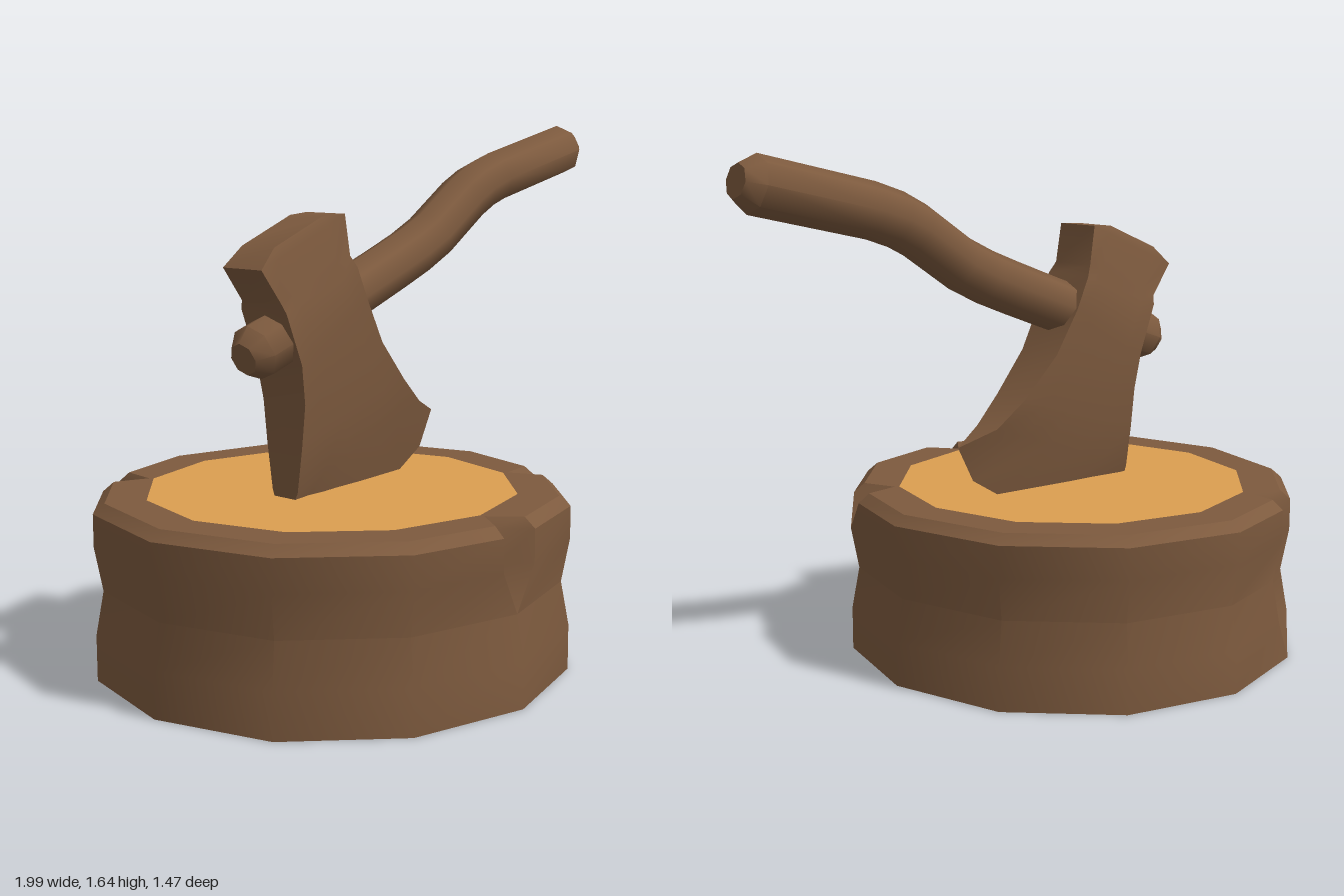
import * as THREE from 'three';
import { toCreasedNormals } from 'three/addons/utils/BufferGeometryUtils.js';

const V = (x, y, z) => new THREE.Vector3(x, y, z);

// Skin a list of closed rings (counter-clockwise about the loft direction).
function loft(rings, crease, capStart, capEnd) {
  const pos = [];
  const tri = (a, b, c) => {
    const area = b.clone().sub(a).cross(c.clone().sub(a)).length();
    if (area > 1e-7) for (const p of [a, b, c]) pos.push(p.x, p.y, p.z);
  };
  const n = rings[0].length;
  for (let i = 0; i < rings.length - 1; i++) {
    for (let j = 0; j < n; j++) {
      const k = (j + 1) % n;
      tri(rings[i][j], rings[i][k], rings[i + 1][k]);
      tri(rings[i][j], rings[i + 1][k], rings[i + 1][j]);
    }
  }
  const first = rings[0], last = rings[rings.length - 1];
  for (let j = 1; j < n - 1; j++) {
    if (capStart) tri(first[0], first[j + 1], first[j]);
    if (capEnd) tri(last[0], last[j], last[j + 1]);
  }
  const geo = new THREE.BufferGeometry();
  geo.setAttribute('position', new THREE.Float32BufferAttribute(pos, 3));
  return toCreasedNormals(geo, crease);
}

// Twelve-sided bark wall and top rim, with V-shaped splits at some corners.
function barkGeometry() {
  const profile = [[0.735, 0], [0.735, 0.14], [0.71, 0.275], [0.735, 0.41],
    [0.735, 0.51], [0.7, 0.54], [0.575, 0.54]]; // radius, height
  const groove = [0.735, 0.67, 0.66, 0.645, 0.625, 0.59, 0.575]; // split floor radius
  const splitTip = { 4: 0, 9: 2, 11: 3 }; // corner -> profile row of its lower tip
  const rings = profile.map(([r, y], row) => {
    const corner = (k, rad = r) =>
      V(rad * Math.cos(k * Math.PI / 6), y, -rad * Math.sin(k * Math.PI / 6));
    const ring = [];
    for (let k = 0; k < 12; k++) {
      if (!(k in splitTip)) { ring.push(corner(k)); continue; }
      const open = row > splitTip[k] && row < profile.length - 1;
      const w = open ? 0.2 : 0;
      ring.push(corner(k).lerp(corner(k - 1), w),
        corner(k, open ? groove[row] : r),
        corner(k).lerp(corner(k + 1), w));
    }
    return ring;
  });
  return loft(rings, 0.6, false, false);
}

// Curved eight-sided handle with bevelled ends.
function handleGeometry() {
  const path = [[-0.635, 0.975, 0.05], [-0.59, 0.99, 0.085], [-0.4, 1.055, 0.085],
    [-0.18, 1.13, 0.085], [0, 1.197, 0.085], [0.11, 1.24, 0.085], [0.21, 1.288, 0.085],
    [0.38, 1.4, 0.085], [0.45, 1.435, 0.085], [0.54, 1.465, 0.085],
    [0.935, 1.555, 0.085], [0.985, 1.565, 0.05]]; // x, y, radius
  const rings = path.map(([x, y, r], i) => {
    const a = path[Math.max(i - 1, 0)], b = path[Math.min(i + 1, path.length - 1)];
    const t = Math.atan2(b[1] - a[1], b[0] - a[0]);
    return Array.from({ length: 8 }, (_, j) => {
      const q = j * Math.PI / 4, c = r * Math.cos(q);
      return V(x - c * Math.sin(t), y + c * Math.cos(t), r * Math.sin(q));
    });
  });
  return loft(rings, 0.9, true, true);
}

// Axe head: stations from the poll down to the curved cutting edge.
function headGeometry() {
  const stations = [ // left x, y, right x, y, half thickness left, right
    [-0.57, 1.295, -0.37, 1.375, 0.065, 0.065],
    [-0.635, 1.235, -0.285, 1.38, 0.078, 0.078],
    [-0.56, 1.135, -0.265, 1.255, 0.08, 0.08],
    [-0.55, 1.105, -0.245, 1.22, 0.092, 0.092],
    [-0.49, 0.95, -0.2, 1.12, 0.094, 0.092],
    [-0.47, 0.83, -0.12, 0.98, 0.086, 0.082],
    [-0.47, 0.7, 0, 0.85, 0.072, 0.068],
    [-0.47, 0.56, 0.1, 0.765, 0.052, 0.048],
  ];
  const edge = [[-0.48, 0.44], [-0.3, 0.44], [-0.1, 0.475], [0.06, 0.54],
    [0.16, 0.6], [0.22, 0.715]];
  const closed = (side) => [
    ...side.slice().reverse(),
    ...side.map((p) => V(p.x, p.y, -p.z)),
  ];
  const rings = stations.map(([lx, ly, rx, ry, tl, tr]) => closed(
    edge.map((_, j) => V(lx, ly, tl).lerp(V(rx, ry, tr), j / (edge.length - 1)))));
  rings.push(closed(edge.map(([x, y]) => V(x, y, 0))));
  return loft(rings, 0.45, true, false);
}

export function createModel() {
  const model = new THREE.Group();
  const brown = new THREE.MeshStandardMaterial({ color: 0x7d5a3e });
  const bark = new THREE.MeshStandardMaterial({ color: 0x7d5a3e, side: THREE.DoubleSide });
  const cutWood = new THREE.MeshStandardMaterial({ color: 0xdc9f50, side: THREE.DoubleSide });
  const add = (parent, name, geo, mat) => {
    const mesh = new THREE.Mesh(geo, mat);
    mesh.name = name;
    parent.add(mesh);
    return mesh;
  };

  // Chopping block, open underneath
  const stump = new THREE.Group();
  stump.name = 'stump';
  stump.position.x = -0.265;
  add(stump, 'bark', barkGeometry(), bark);
  const top = add(stump, 'cutTop', new THREE.CircleGeometry(0.575, 12), cutWood);
  top.rotation.x = -Math.PI / 2;
  top.position.y = 0.54;

  // Axe stuck in the block
  const axe = new THREE.Group();
  axe.name = 'axe';
  add(axe, 'handle', handleGeometry(), brown);
  add(axe, 'axeHead', headGeometry(), brown);

  model.add(stump, axe);
  return model;
}
